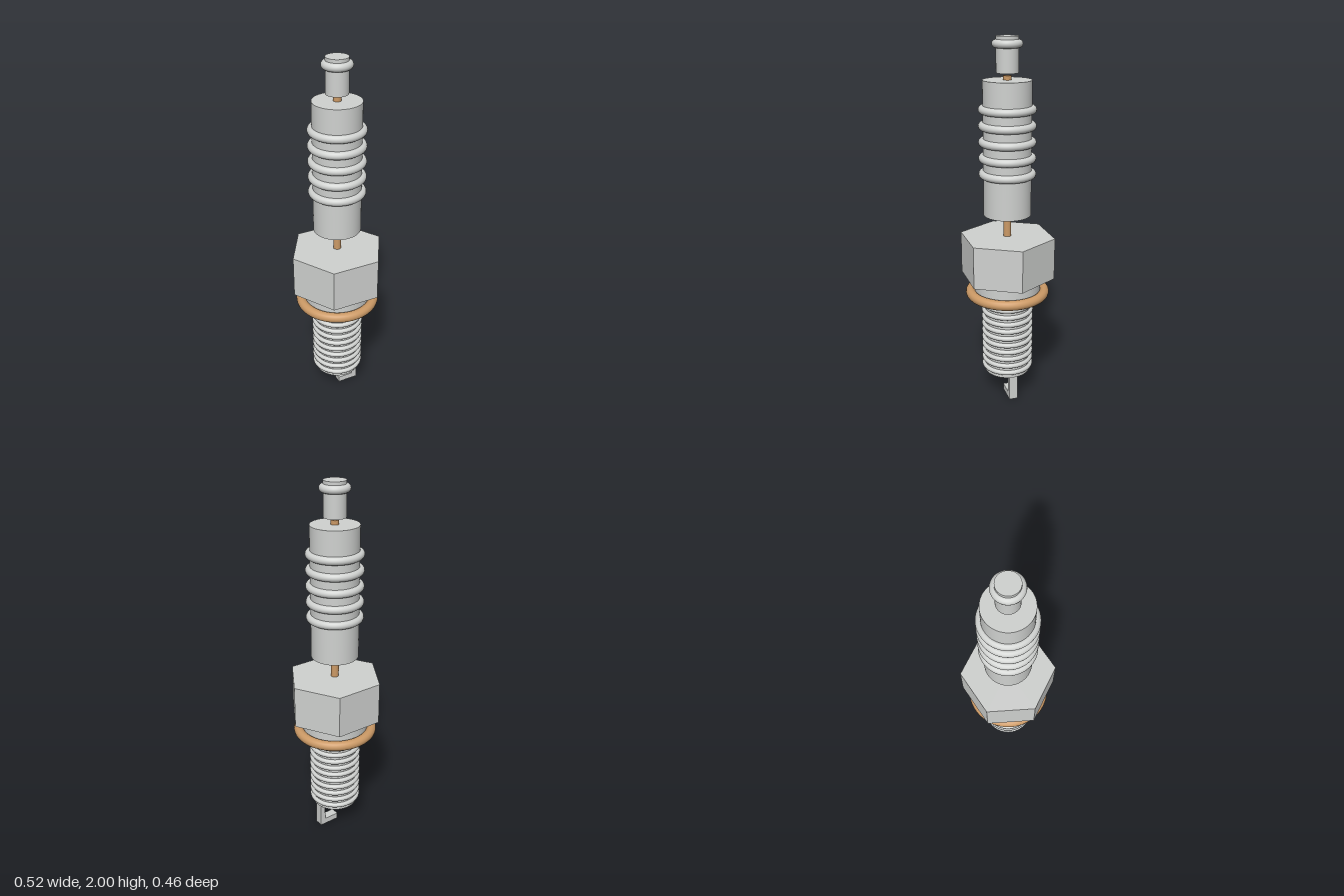
import * as THREE from 'three';

export function createModel() {
  const group = new THREE.Group();
  const steel = new THREE.MeshStandardMaterial({ color: 0xd0d2d0 });
  steel.name = 'steel grey';
  const copper = new THREE.MeshStandardMaterial({ color: 0xcc9a66 });
  copper.name = 'copper';

  function add(name, geometry, material, y = 0) {
    const mesh = new THREE.Mesh(geometry, material);
    mesh.name = name;
    mesh.position.y = y;
    group.add(mesh);
    return mesh;
  }
  // Upright cylinder between two heights
  const post = (name, radius, y0, y1, material = steel) =>
    add(name, new THREE.CylinderGeometry(radius, radius, y1 - y0, 64), material, (y0 + y1) / 2);
  // Horizontal ring at a height
  const ring = (name, radius, tube, y, material = steel) =>
    add(name, new THREE.TorusGeometry(radius, tube, 16, 64).rotateX(Math.PI / 2), material, y);

  // Centre electrode running through the whole plug
  post('centreElectrode', 0.021, 0.122, 1.807, copper);

  // Terminal cap with its bead
  post('terminal', 0.058, 1.82, 2);
  ring('terminalBead', 0.058, 0.021, 1.962);

  // Insulator with ribs
  post('insulator', 0.127, 1.075, 1.785);
  for (let i = 0; i < 5; i++) ring('insulatorRib', 0.13, 0.021, 1.299 + i * 0.0845);

  // Hexagonal nut, corners on the x axis
  const hex = new THREE.CylinderGeometry(0.261, 0.261, 0.232, 6, 1, false, Math.PI / 2).toNonIndexed();
  hex.computeVertexNormals();
  add('hexNut', hex, steel, 0.837);

  // Seat and sealing gasket
  post('seat', 0.182, 0.607, 0.722);
  ring('gasket', 0.203, 0.027, 0.629, copper);

  // Threaded barrel
  post('barrel', 0.127, 0.145, 0.62);
  for (let i = 0; i < 10; i++) ring('thread', 0.13, 0.0135, 0.18 + i * 0.0424);

  // L-shaped ground electrode
  const outline = [[0, 0], [0.117, 0], [0.117, 0.147], [0.087, 0.147], [0.087, 0.035], [0, 0.035]];
  const shape = new THREE.Shape(outline.map(([x, y]) => new THREE.Vector2(x, y)));
  const electrode = new THREE.ExtrudeGeometry(shape, { depth: 0.048, bevelEnabled: false });
  add('groundElectrode', electrode.translate(0, 0, -0.024), steel);

  return group;
}
